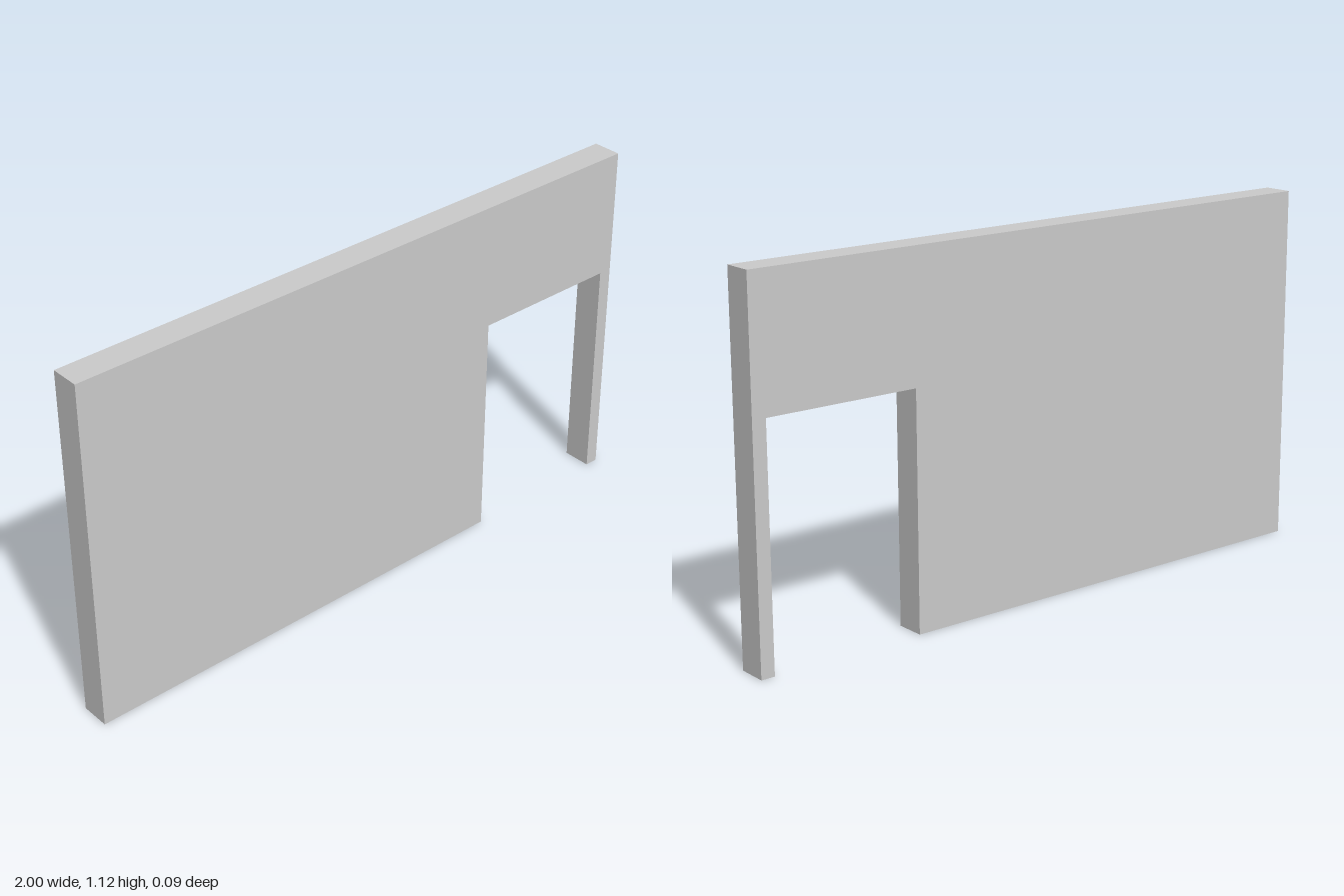
import * as THREE from 'three';

const WIDTH = 2, HEIGHT = 1.125, DEPTH = 0.092;
const DOOR = { left: 0.468, right: 0.957, top: 0.725 };

export function createModel() {
  const group = new THREE.Group();
  group.name = 'wallWithDoorway';

  // Wall outline, running around the doorway that is open at the floor
  const outline = new THREE.Shape([
    [-WIDTH / 2, 0],
    [DOOR.left, 0],
    [DOOR.left, DOOR.top],
    [DOOR.right, DOOR.top],
    [DOOR.right, 0],
    [WIDTH / 2, 0],
    [WIDTH / 2, HEIGHT],
    [-WIDTH / 2, HEIGHT],
  ].map(([x, y]) => new THREE.Vector2(x, y)));

  const geometry = new THREE.ExtrudeGeometry(outline, { depth: DEPTH, bevelEnabled: false });
  geometry.translate(0, 0, -DEPTH / 2);

  const wall = new THREE.Mesh(geometry, new THREE.MeshStandardMaterial({ color: 0xcccccc }));
  wall.name = 'wall';
  group.add(wall);
  return group;
}
